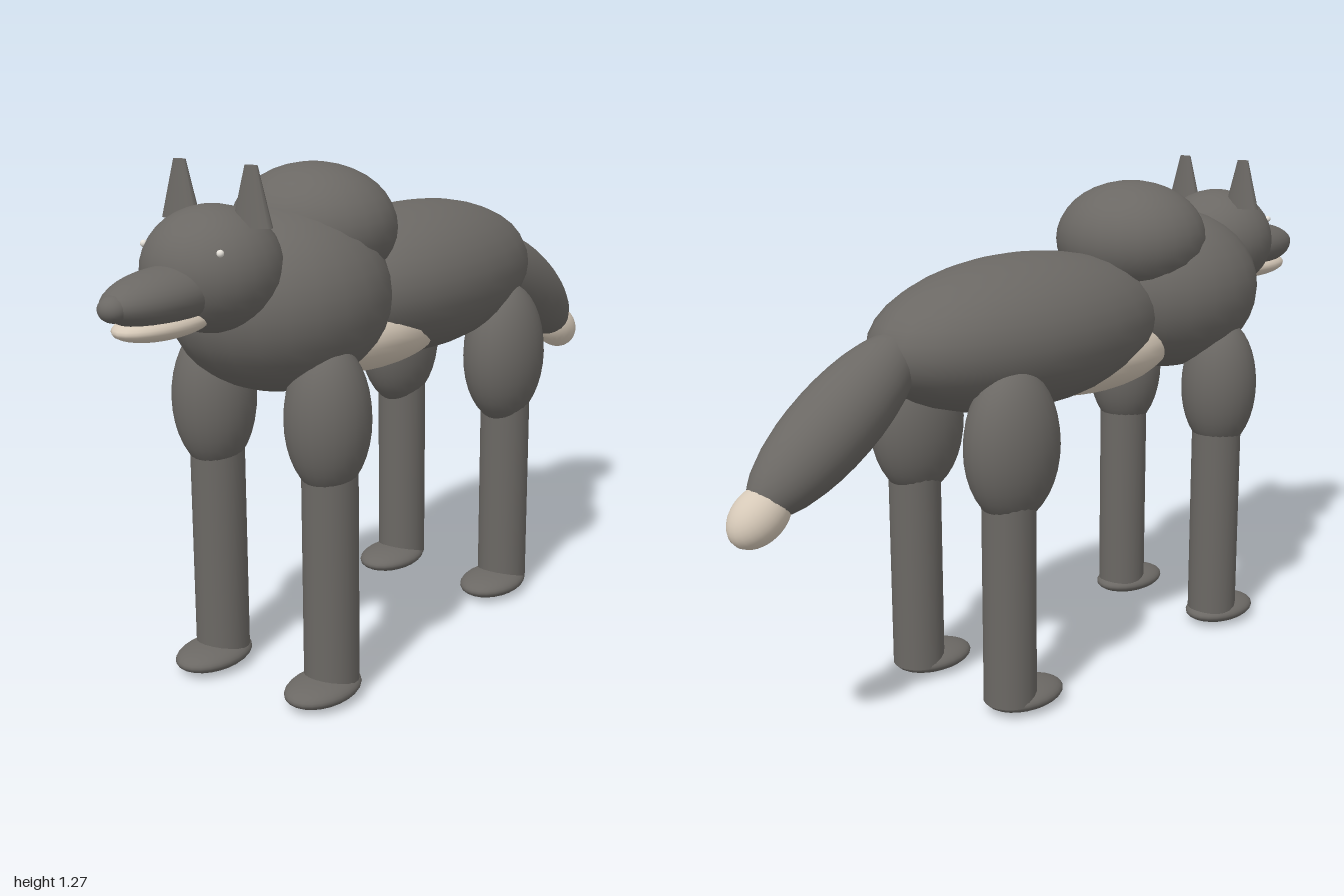
import * as THREE from 'three';

export function createModel() {
  const model = new THREE.Group();
  model.name = 'canine';
  const fur = new THREE.MeshStandardMaterial({ color: 0x6b6864 });
  fur.name = 'greyFur';
  const cream = new THREE.MeshStandardMaterial({ color: 0xd6c9b8 });
  cream.name = 'creamFur';
  const eyeWhite = new THREE.MeshStandardMaterial({ color: 0xe8e4dc });
  eyeWhite.name = 'paleEye';

  const sphere = new THREE.SphereGeometry(1, 24, 18);

  function add(name, geometry, material, position) {
    const mesh = new THREE.Mesh(geometry, material);
    mesh.name = name;
    mesh.position.set(...position);
    model.add(mesh);
    return mesh;
  }
  function ellipsoid(name, material, position, radii, tilt = 0) {
    const mesh = add(name, sphere, material, position);
    mesh.scale.set(...radii);
    mesh.rotation.x = tilt;
    return mesh;
  }

  // Trunk
  ellipsoid('body', fur, [0, 0.905, -0.125], [0.235, 0.19, 0.455]);
  ellipsoid('belly', cream, [0, 0.82, 0.1], [0.175, 0.11, 0.3]);
  ellipsoid('chest', fur, [0, 0.943, 0.425], [0.25, 0.215, 0.278]);
  ellipsoid('shoulderRuff', fur, [0, 1.09, 0.295], [0.2, 0.15, 0.195]);

  // Head
  ellipsoid('head', fur, [0, 1.047, 0.66], [0.157, 0.14, 0.16]);
  ellipsoid('snout', fur, [0, 1.014, 0.81], [0.087, 0.062, 0.178]);
  ellipsoid('lowerJaw', cream, [0, 0.957, 0.82], [0.072, 0.033, 0.14]);
  ellipsoid('nose', fur, [0, 1.012, 0.965], [0.034, 0.029, 0.035]);

  // Tail slopes down and back
  const slope = -0.61;
  ellipsoid('tail', fur, [0, 0.78, -0.71], [0.1, 0.1, 0.285], slope);
  ellipsoid('tailTip', cream, [0, 0.615, -0.925], [0.06, 0.06, 0.085], slope);

  const earGeometry = new THREE.CylinderGeometry(0.017, 0.053, 0.13, 16);
  const shinGeometry = new THREE.CylinderGeometry(0.066, 0.066, 0.56, 20);

  for (const side of [1, -1]) {
    const label = side > 0 ? 'left' : 'right';

    // Flattened ears and small eyes
    add(label + 'Ear', earGeometry, fur, [side * 0.1, 1.21, 0.643]).scale.z = 0.42;
    ellipsoid(label + 'Eye', eyeWhite, [side * 0.107, 1.105, 0.758], [0.008, 0.008, 0.008]);

    // Legs: thigh, straight lower leg, flat paw
    const x = side * 0.168;
    ellipsoid(label + 'FrontThigh', fur, [x, 0.69, 0.473], [0.1, 0.18, 0.104]);
    ellipsoid(label + 'HindThigh', fur, [x, 0.68, -0.32], [0.1, 0.19, 0.13]);
    add(label + 'FrontLowerLeg', shinGeometry, fur, [x, 0.315, 0.468]);
    add(label + 'HindLowerLeg', shinGeometry, fur, [x, 0.315, -0.333]);
    ellipsoid(label + 'FrontPaw', fur, [x, 0.036, 0.503], [0.079, 0.031, 0.112]);
    ellipsoid(label + 'HindPaw', fur, [x, 0.036, -0.284], [0.079, 0.031, 0.112]);
  }
  return model;
}
